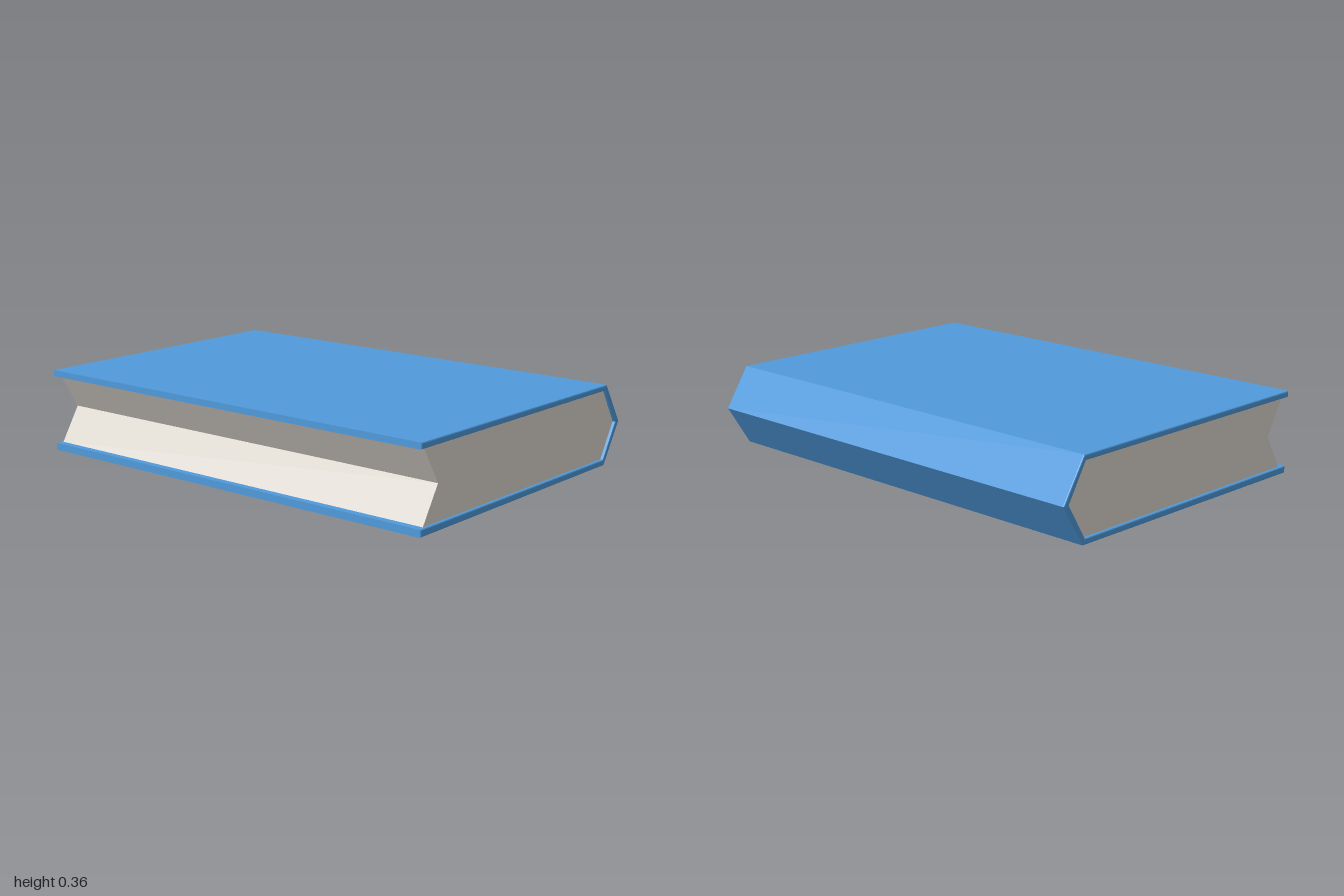
import * as THREE from 'three';

// Extrudes a side profile of [z, y] points along x, centred on x = 0
function extrudeAlongX(points, length, bevel = 0) {
  const shape = new THREE.Shape(points.map(([z, y]) => new THREE.Vector2(-z, y)));
  const geometry = new THREE.ExtrudeGeometry(shape, {
    depth: length - 2 * bevel,
    bevelEnabled: bevel > 0,
    bevelThickness: bevel,
    bevelSize: bevel,
    bevelOffset: -bevel,
    bevelSegments: 2,
  });
  geometry.translate(0, 0, -(length - 2 * bevel) / 2);
  geometry.rotateY(Math.PI / 2);
  return geometry;
}

export function createModel() {
  const book = new THREE.Group();
  book.name = 'book';

  const coverMaterial = new THREE.MeshStandardMaterial({ color: 0x509bdc });
  const pageMaterial = new THREE.MeshStandardMaterial({ color: 0xddd8d0 });

  // Cover: two boards joined by a pointed spine at the back
  const cover = new THREE.Mesh(extrudeAlongX([
    [0.7, 0], [-0.585, 0.006], [-0.695, 0.18], [-0.585, 0.353], [0.7, 0.356],
    [0.7, 0.329], [-0.575, 0.329], [-0.665, 0.18], [-0.575, 0.032], [0.7, 0.031],
  ], 1.99, 0.005), coverMaterial);
  cover.name = 'cover';

  // Page block: pointed into the spine, notched along the fore edge
  const pages = new THREE.Mesh(extrudeAlongX([
    [0.67, 0.03], [-0.576, 0.03], [-0.667, 0.18], [-0.576, 0.331],
    [0.67, 0.331], [0.58, 0.178],
  ], 1.965), pageMaterial);
  pages.name = 'pages';

  book.add(cover, pages);
  book.rotation.y = 0.004; // lies very slightly turned
  return book;
}
